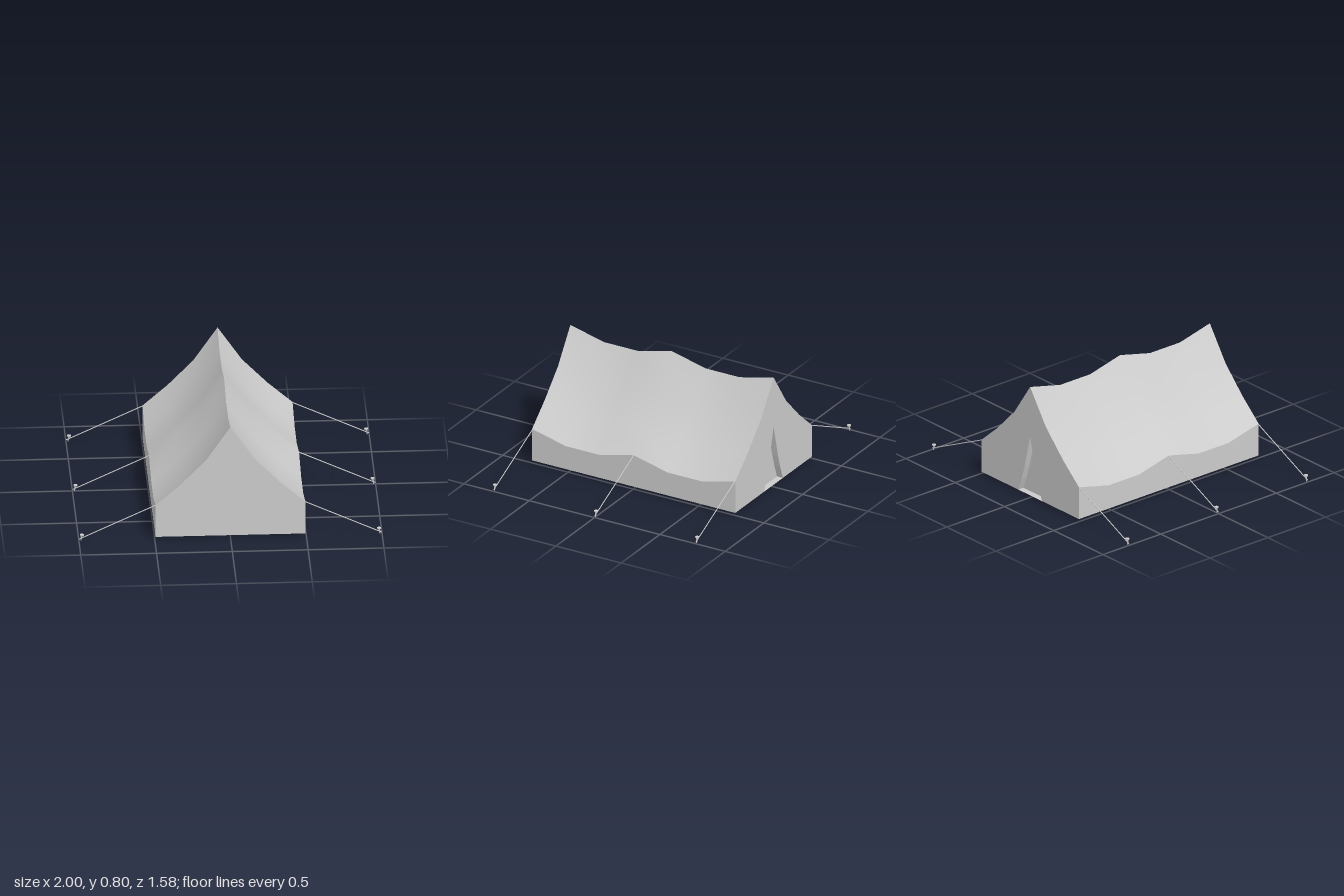
import * as THREE from 'three';

const HALF_W = 0.495, HALF_L = 0.778, FLOOR = 0.015, DOOR_DEPTH = 0.045;
// Roof profile from ridge to eave, and the droop of the cloth along z
const PROFILE = [[0, 0.8], [0.16, 0.565], [0.33, 0.39], [HALF_W, 0.245]];
const SAG = [0, 0.062, 0.062, 0, 0.062, 0.062, 0];
// One side of the doorway, from the ground to its tip
const DOOR = [[0.12, FLOOR], [0.085, 0.11], [0.058, 0.2], [0.03, 0.315], [0, 0.44]];

const material = new THREE.MeshStandardMaterial({ color: 0xcccccc, side: THREE.DoubleSide });

function addMesh(parent, name, geometry) {
  const mesh = new THREE.Mesh(geometry, material);
  mesh.name = name;
  parent.add(mesh);
  return mesh;
}

// Surface through rows of [x, y, z] points
function sheet(rows, flat = false) {
  const n = rows[0].length, index = [];
  for (let i = 0; i < rows.length - 1; i++) {
    for (let j = 0; j < n - 1; j++) {
      const a = i * n + j, b = a + n;
      index.push(a, b, a + 1, b, b + 1, a + 1);
    }
  }
  let geometry = new THREE.BufferGeometry();
  geometry.setAttribute('position', new THREE.Float32BufferAttribute(rows.flat(2), 3));
  geometry.setIndex(index);
  if (flat) geometry = geometry.toNonIndexed();
  geometry.computeVertexNormals();
  return geometry;
}

const flatShape = (points) =>
  new THREE.ShapeGeometry(new THREE.Shape(points.map(([x, y]) => new THREE.Vector2(x, y))));

const mirrorX = (points) => points.map(([x, y]) => [-x, y]);

// Rod between two points
function rod(from, to, rFrom, rTo, sides) {
  const a = new THREE.Vector3(...from), b = new THREE.Vector3(...to);
  const dir = b.clone().sub(a);
  const geometry = new THREE.CylinderGeometry(rTo, rFrom, dir.length(), sides);
  geometry.applyQuaternion(new THREE.Quaternion().setFromUnitVectors(
    new THREE.Vector3(0, 1, 0), dir.normalize()));
  const mid = a.add(b).multiplyScalar(0.5);
  return geometry.translate(mid.x, mid.y, mid.z);
}

// Roof slope, side wall, ropes and pegs of the +x side
function createSide() {
  const side = new THREE.Group();
  const stations = SAG.map((sag, i) => ({ sag, z: HALF_L * (i / 3 - 1) }));
  addMesh(side, 'roofSlope', sheet(stations.map(({ sag, z }) =>
    PROFILE.map(([x, y]) => [x, y - sag, z]))));
  addMesh(side, 'sideWall', sheet(stations.map(({ sag, z }) =>
    [[HALF_W, 0.245 - sag, z], [HALF_W, FLOOR, z]])));

  for (const z of [-0.774, 0, 0.774]) {
    const tie = new THREE.Group();
    tie.name = 'guyLine';
    addMesh(tie, 'rope', rod([HALF_W, 0.243, z], [0.998, 0.01, z], 0.0035, 0.0035, 6));
    addMesh(tie, 'pegShaft', rod([0.987, 0, z], [0.98, 0.038, z], 0.003, 0.007, 8));
    const head = addMesh(tie, 'pegHead', new THREE.CylinderGeometry(0.014, 0.014, 0.007, 12));
    head.position.set(0.98, 0.04, z);
    side.add(tie);
  }
  return side;
}

// Rear end with a shallow recessed doorway, modelled facing +z
function createBack() {
  const back = new THREE.Group();
  back.name = 'backEnd';
  const doorArc = [...mirrorX(DOOR), ...DOOR.slice(0, -1).reverse()];
  const roofLine = [...PROFILE.slice(1).reverse(), ...mirrorX(PROFILE)];
  addMesh(back, 'backGable', flatShape([
    [-HALF_W, FLOOR], ...doorArc, [HALF_W, FLOOR], ...roofLine,
  ])).position.z = HALF_L;
  addMesh(back, 'doorPanel', flatShape(doorArc)).position.z = HALF_L - DOOR_DEPTH;
  addMesh(back, 'doorReveal', sheet([HALF_L - DOOR_DEPTH, HALF_L].map((z) =>
    doorArc.map(([x, y]) => [x, y, z])), true));
  back.rotation.y = Math.PI;
  return back;
}

export function createModel() {
  const tent = new THREE.Group();
  tent.name = 'tent';

  const left = createSide();
  left.name = 'leftSide';
  const right = createSide();
  right.name = 'rightSide';
  right.rotation.y = Math.PI;
  tent.add(left, right, createBack());

  // Plain front end
  addMesh(tent, 'frontGable', flatShape([
    [-HALF_W, FLOOR], [HALF_W, FLOOR],
    ...PROFILE.slice(1).reverse(), ...mirrorX(PROFILE),
  ])).position.z = HALF_L;

  // Ground sheet, facing down
  const floor = addMesh(tent, 'groundSheet', new THREE.PlaneGeometry(HALF_W * 2, HALF_L * 2));
  floor.rotation.x = Math.PI / 2;
  floor.position.y = FLOOR;
  return tent;
}
